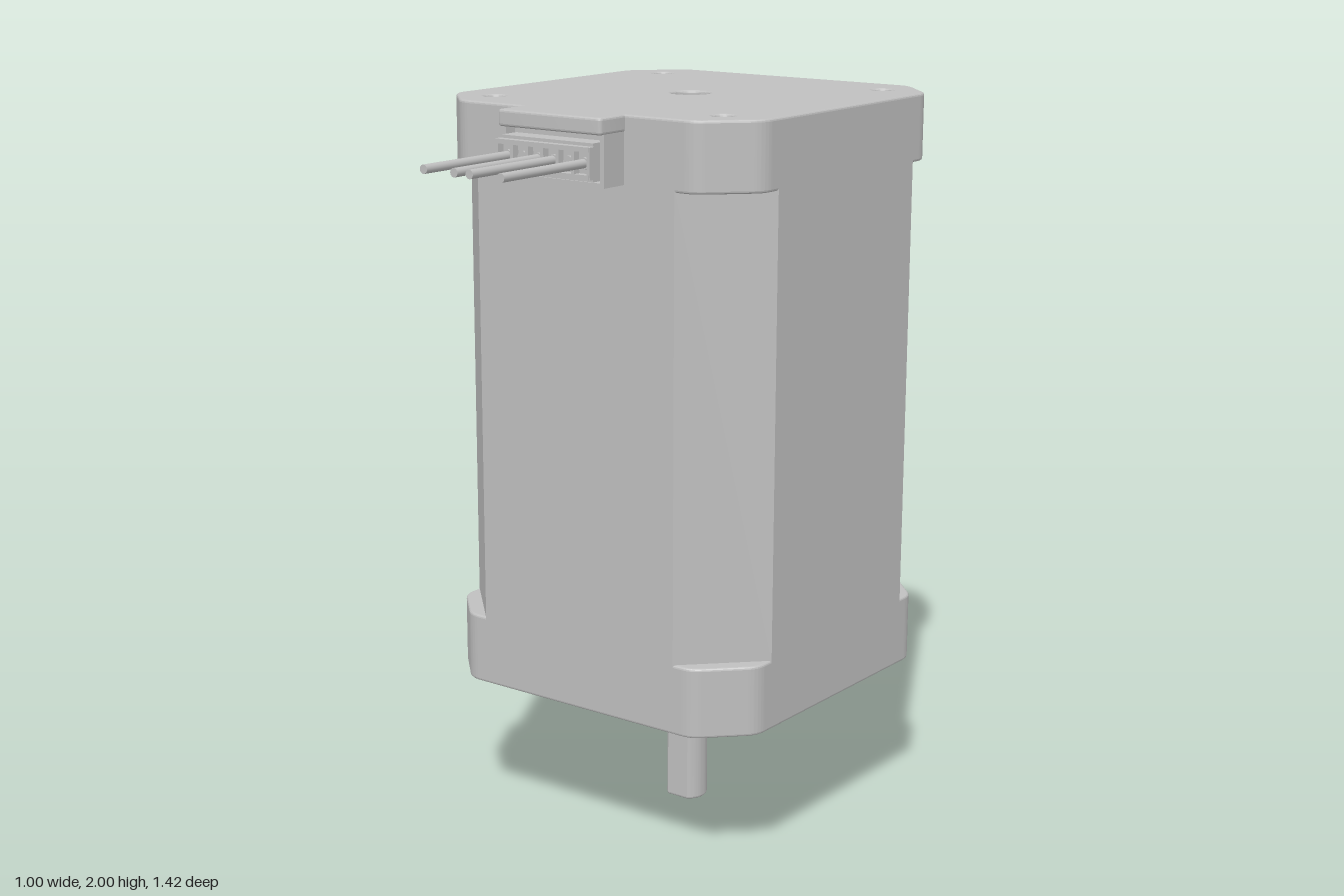
import * as THREE from 'three';
import { toCreasedNormals } from 'three/addons/utils/BufferGeometryUtils.js';

const CZ = -0.21; // motor axis

export function createModel() {
  const model = new THREE.Group();
  model.name = 'stepperMotor';
  const metal = new THREE.MeshStandardMaterial({ color: 0xbfbfbf });
  metal.name = 'grey metal';

  const add = (name, geometry, x = 0, y = 0, z = 0, parent = model) => {
    const mesh = new THREE.Mesh(geometry, metal);
    mesh.name = name;
    mesh.position.set(x, y, z);
    parent.add(mesh);
    return mesh;
  };

  // Box given by its limits
  const block = (name, x0, x1, y0, y1, z0, z1, parent) =>
    add(name, new THREE.BoxGeometry(x1 - x0, y1 - y0, z1 - z0),
      (x0 + x1) / 2, (y0 + y1) / 2, (z0 + z1) / 2, parent);

  // Closed outline with softened corners
  const outline = (pts, soft) => {
    const s = new THREE.Shape();
    const v = pts.map(p => new THREE.Vector2(p[0], p[1]));
    v.forEach((p, i) => {
      const prev = v[(i + v.length - 1) % v.length], next = v[(i + 1) % v.length];
      const a = p.clone().add(prev.clone().sub(p).setLength(soft || 1e-6));
      const b = p.clone().add(next.clone().sub(p).setLength(soft || 1e-6));
      if (!soft) return i ? s.lineTo(p.x, p.y) : s.moveTo(p.x, p.y);
      if (i) s.lineTo(a.x, a.y); else s.moveTo(a.x, a.y);
      s.quadraticCurveTo(p.x, p.y, b.x, b.y);
    });
    s.closePath();
    return s;
  };

  // Square with cut corners
  const octagon = (h, cut, soft) => {
    const k = h - cut;
    return outline([[h, -k], [h, k], [k, h], [-k, h], [-h, k], [-h, -k], [-k, -h], [k, -h]], soft);
  };

  // Vertical extrusion between two heights
  const prism = (shape, y0, y1, bevel = 0, curveSegments = 36) => {
    const g = new THREE.ExtrudeGeometry(shape, {
      depth: y1 - y0 - 2 * bevel, bevelEnabled: bevel > 0, bevelThickness: bevel,
      bevelSize: bevel, bevelOffset: -bevel, bevelSegments: 3, curveSegments,
    });
    g.rotateX(-Math.PI / 2).translate(0, y0 + bevel, 0);
    return toCreasedNormals(g, 0.2);
  };

  // End caps with screw holes
  const cap = (name, y0, y1, screwR, centreR) => {
    const shape = octagon(0.5, 0.125, 0.03);
    const hole = (x, y, r) => {
      const p = new THREE.Path();
      p.absarc(x, y, r, 0, Math.PI * 2, true);
      shape.holes.push(p);
    };
    for (const sx of [-1, 1]) for (const sy of [-1, 1]) hole(sx * 0.368, sy * 0.368, screwR);
    if (centreR) hole(0, 0, centreR);
    add(name, prism(shape, y0, y1, 0.007), 0, 0, CZ);
  };
  cap('bottomCap', 0.41, 0.6, 0.02, 0);
  cap('topCap', 1.82, 2, 0.029, 0.053);

  // Laminated core, reaching just into the caps
  add('core', prism(octagon(0.5, 0.183, 0), 0.592, 1.828), 0, 0, CZ);

  // Pilot boss under the lower cap
  const bossProfile = [[0, 0.362], [0.246, 0.362], [0.255, 0.365], [0.261, 0.373],
    [0.262, 0.395], [0.266, 0.405], [0.274, 0.412]].map(p => new THREE.Vector2(...p));
  add('pilotBoss', toCreasedNormals(new THREE.LatheGeometry(bossProfile, 64), 0.6), 0, 0, CZ);

  // Shaft: round above, flat on the front below
  const R = 0.057, FLAT = 0.046;
  add('shaftRound', new THREE.CylinderGeometry(R, R, 0.165, 36), 0, 0.3275, CZ);
  const a = Math.acos(FLAT / R);
  const dShape = new THREE.Shape();
  dShape.absarc(0, 0, R, -Math.PI / 2 + a, Math.PI * 1.5 - a, false);
  dShape.closePath();
  add('shaftFlat', prism(dShape, 0, 0.252, 0.007), 0, 0, CZ);

  // Connector on the front of the top cap
  const connector = new THREE.Group();
  connector.name = 'connector';
  model.add(connector);
  const hood = outline([[-0.165, -0.387], [0.165, -0.387], [0.165, -0.26], [-0.165, -0.26]], 0.014);
  add('connectorHood', prism(hood, 1.957, 2, 0.007, 12), 0, 0, 0, connector);
  block('housingBack', -0.162, 0.162, 1.826, 1.96, 0.27, 0.335, connector);
  block('housingFloor', -0.162, 0.162, 1.826, 1.838, 0.33, 0.37, connector);
  for (const s of [-1, 1]) {
    const side = block('housingSide', -0.006, 0.006, 1.826, 1.96, 0.33, 0.37, connector);
    side.position.x = s * 0.156;
  }

  // Plug with six ribbed cells
  block('plugBody', -0.146, 0.146, 1.843, 1.938, 0.33, 0.392, connector);
  block('plugTopRail', -0.147, 0.147, 1.918, 1.93, 0.39, 0.413, connector);
  block('plugBottomRail', -0.147, 0.147, 1.85, 1.862, 0.39, 0.413, connector);
  const PITCH = 0.0487;
  for (let i = 0; i <= 6; i++) {
    const x = (i - 3) * PITCH;
    block('plugRib', x - 0.005, x + 0.005, 1.85, 1.93, 0.39, 0.412, connector);
  }

  // Contacts in every cell, wires in four of them
  for (let i = 0; i < 6; i++) {
    const x = (i - 2.5) * PITCH;
    const rod = (name, r, z0, z1) => {
      const g = new THREE.CylinderGeometry(r, r, z1 - z0, 20).rotateX(Math.PI / 2);
      add(name, g, x, 1.888, (z0 + z1) / 2, connector);
    };
    rod('contact', 0.015, 0.38, 0.4);
    if ([0, 2, 3, 5].includes(i)) rod('wire', 0.0115, 0.38, 0.71);
  }
  return model;
}
